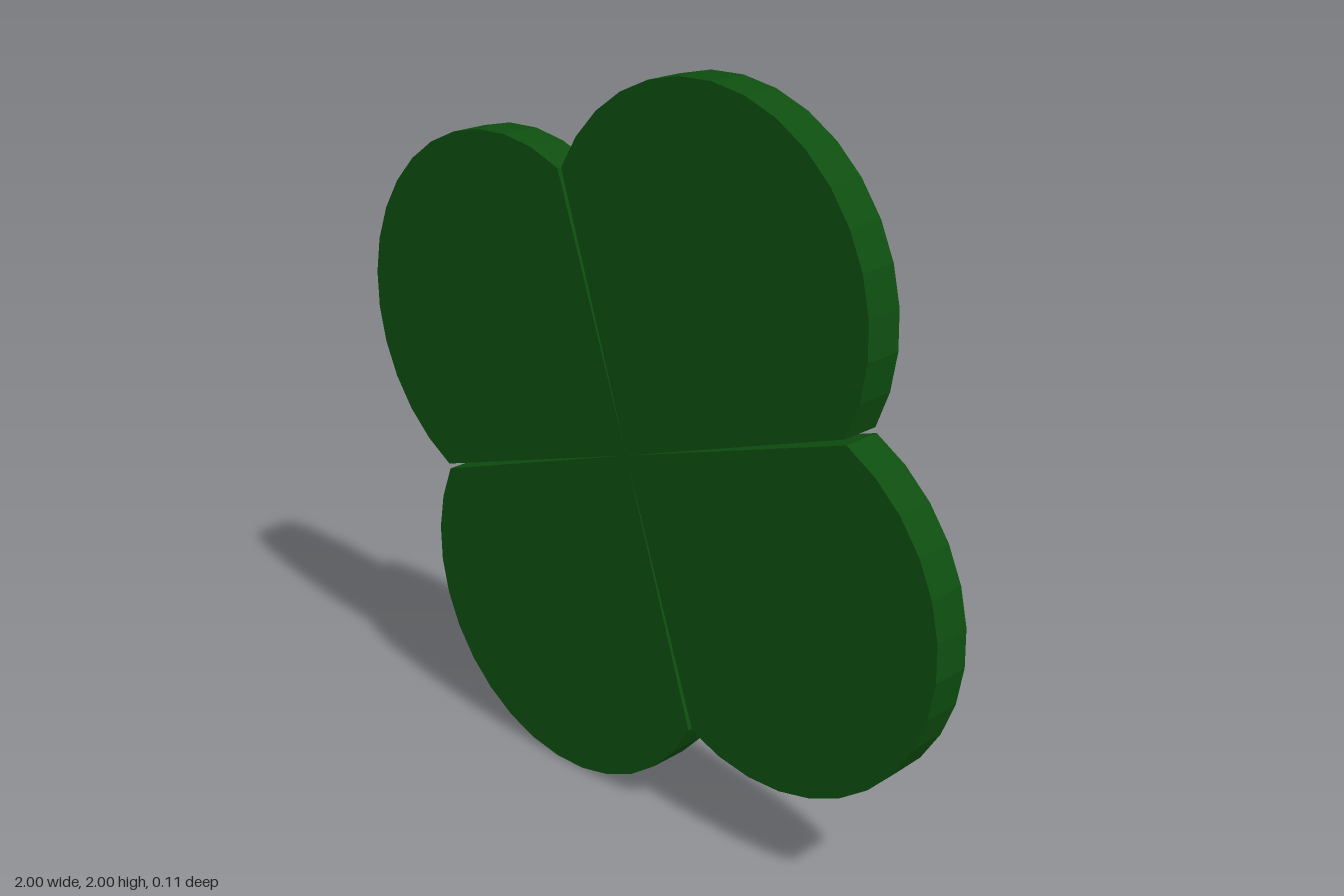
import * as THREE from 'three';

const DEPTH = 0.11;          // leaf thickness
const RADIUS = 0.523;        // rounded outer end
const REACH = 0.533;         // clover centre to the middle of the rounded end
const TILT = THREE.MathUtils.degToRad(63.3);

// One leaf: a wedge from the centre, closed by a half circle
function leafGeometry() {
  const shape = new THREE.Shape();
  shape.moveTo(0, 0);
  const steps = 16;
  for (let i = 0; i <= steps; i++) {
    const a = -Math.PI / 2 + (Math.PI * i) / steps;
    shape.lineTo(REACH + RADIUS * Math.cos(a), RADIUS * Math.sin(a));
  }
  shape.closePath();
  const geometry = new THREE.ExtrudeGeometry(shape, { depth: DEPTH, bevelEnabled: false });
  geometry.translate(0, 0, -DEPTH / 2);
  return geometry;
}

export function createModel() {
  const green = new THREE.MeshStandardMaterial({ color: 0x0e4e10 });
  green.name = 'dark green';

  const clover = new THREE.Group();
  clover.name = 'fourLeafClover';
  const geometry = leafGeometry();

  // Four leaves around the centre
  ['topLeaf', 'leftLeaf', 'bottomLeaf', 'rightLeaf'].forEach((name, i) => {
    const leaf = new THREE.Mesh(geometry, green);
    leaf.name = name;
    leaf.position.y = 1;
    leaf.rotation.z = TILT + (i * Math.PI) / 2;
    clover.add(leaf);
  });
  return clover;
}
